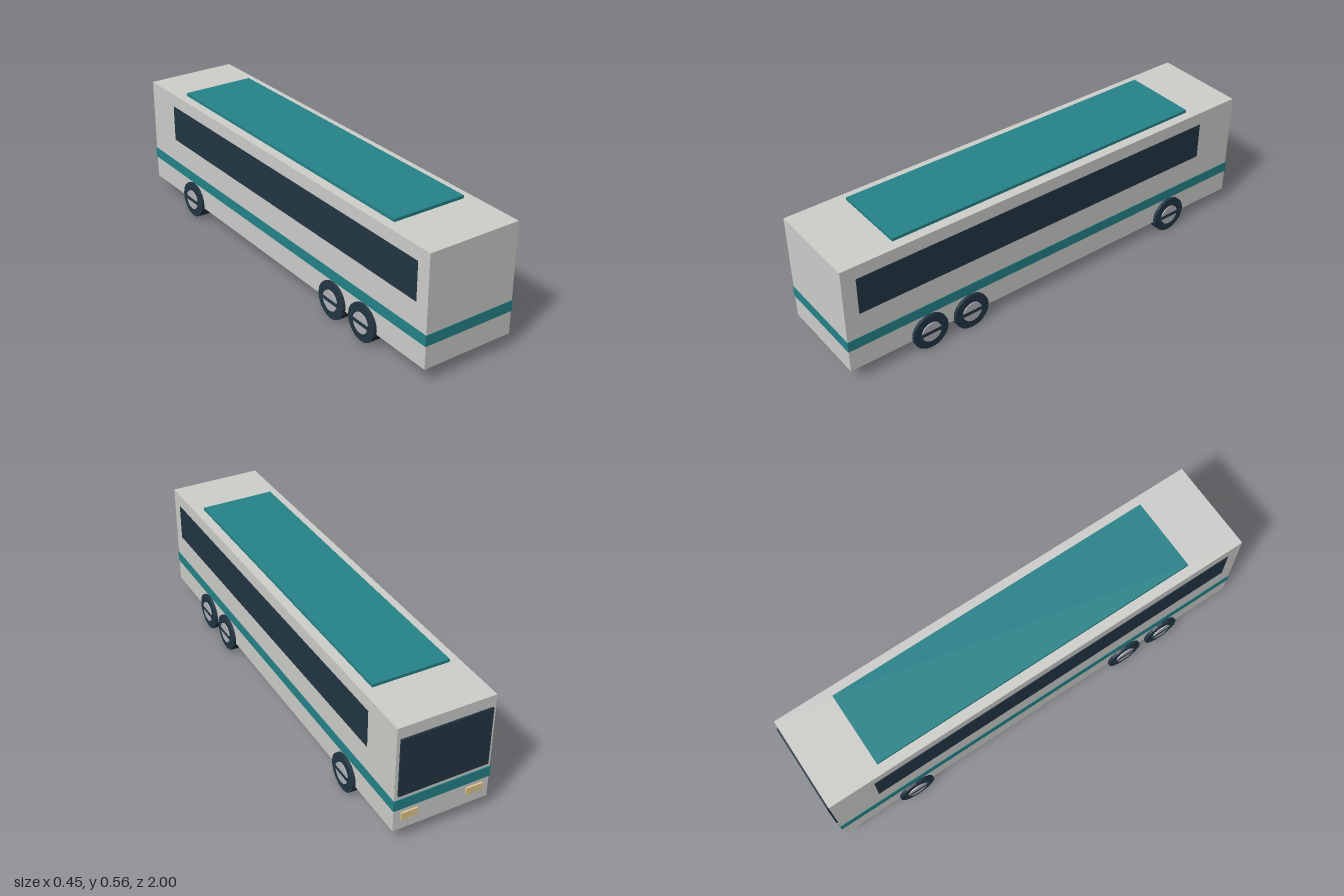
import * as THREE from 'three';

function material(name, color) {
  const m = new THREE.MeshStandardMaterial({ color });
  m.name = name;
  return m;
}

export function createModel() {
  const shell = material('pale grey shell', 0xcfcfcc);
  const teal = material('teal trim', 0x25848a);
  const dark = material('dark glass and rubber', 0x233644);
  const metal = material('hub metal', 0xb2b4ba);
  const lamp = material('lamp yellow', 0xe2ca8c);

  const bus = new THREE.Group();
  bus.name = 'bus';

  function add(parent, name, geometry, mat, x, y, z) {
    const mesh = new THREE.Mesh(geometry, mat);
    mesh.name = name;
    mesh.position.set(x, y, z);
    parent.add(mesh);
    return mesh;
  }
  const box = (parent, name, mat, w, h, d, x, y, z) =>
    add(parent, name, new THREE.BoxGeometry(w, h, d), mat, x, y, z);

  // Shell, the stripe around it and the roof panel
  box(bus, 'body', shell, 0.416, 0.481, 1.99, 0, 0.3065, 0.003);
  box(bus, 'stripe', teal, 0.421, 0.047, 1.996, 0, 0.1895, 0.002);
  box(bus, 'roofPanel', teal, 0.332, 0.013, 1.496, 0, 0.5535, 0);

  // Windscreen at the -z end
  box(bus, 'windscreen', dark, 0.388, 0.262, 0.008, 0, 0.365, -0.996);

  // Faceted disc lying along x
  function disc(radius, width, sides) {
    const g = new THREE.CylinderGeometry(radius, radius, width, sides).toNonIndexed();
    g.rotateZ(Math.PI / 2);
    g.computeVertexNormals();
    return g;
  }
  const tyreGeometry = disc(0.082, 0.059, 20);
  const hubGeometry = disc(0.045, 0.01, 20);

  for (const side of [-1, 1]) {
    box(bus, 'sideWindow', dark, 0.004, 0.164, 1.732, side * 0.2085, 0.4065, 0.07);
    box(bus, 'headlamp', lamp, 0.07, 0.032, 0.008, side * 0.142, 0.131, -0.996);

    // One single and two paired wheels on each side
    for (const z of [-0.64, 0.44, 0.637]) {
      const wheel = new THREE.Group();
      wheel.name = 'wheel';
      wheel.position.set(side * 0.1915, 0.082, z);
      add(wheel, 'tyre', tyreGeometry, dark, 0, 0, 0);
      add(wheel, 'hub', hubGeometry, metal, side * 0.0295, 0, 0);
      box(wheel, 'hubBar', dark, 0.008, 0.016, 0.1, side * 0.0315, 0, 0);
      bus.add(wheel);
    }
  }
  return bus;
}
